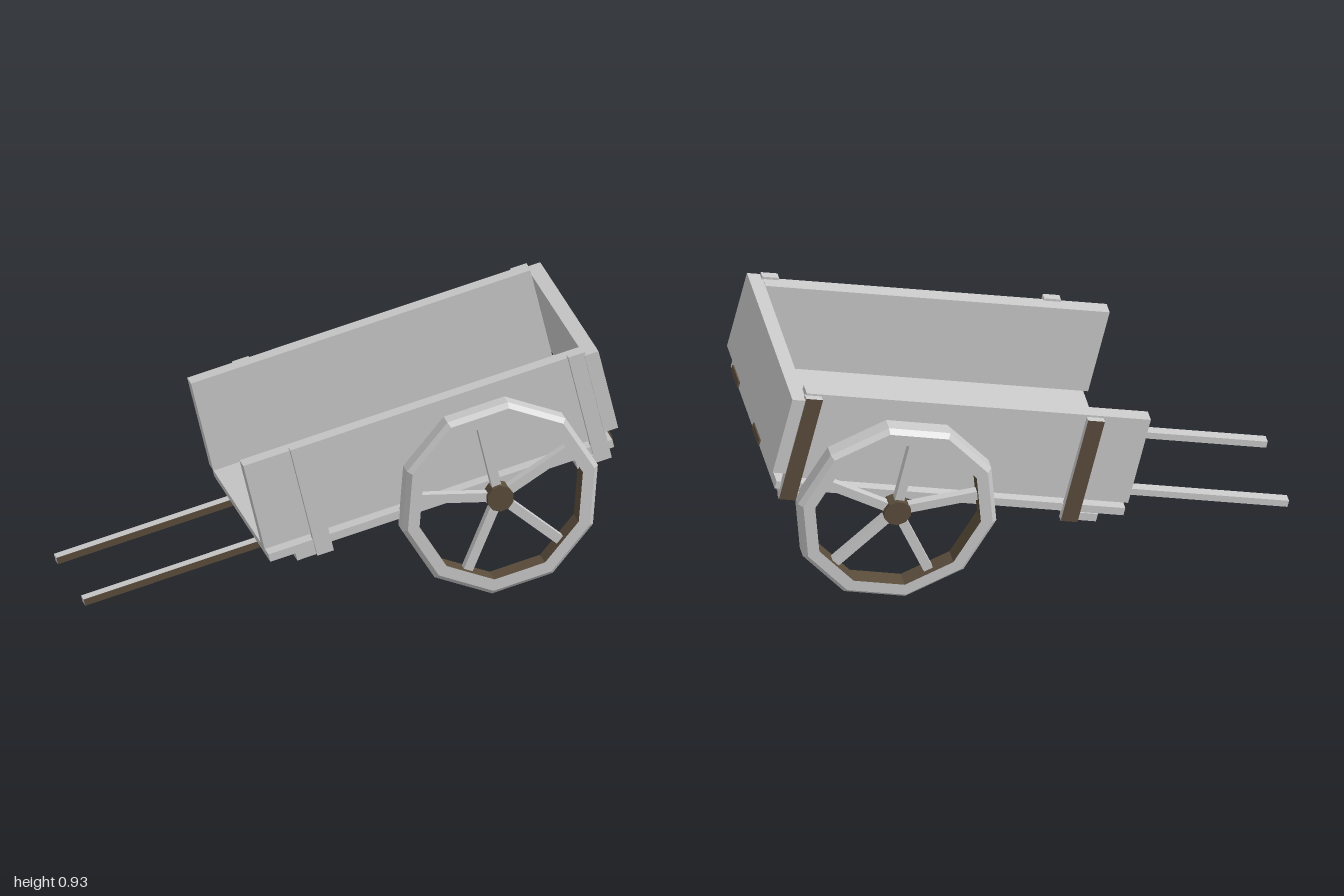
import * as THREE from 'three';

export function createModel() {
  const model = new THREE.Group();
  model.name = 'handCart';
  const grey = new THREE.MeshStandardMaterial({ color: 0xcacaca });
  grey.name = 'pale grey wood';
  const brown = new THREE.MeshStandardMaterial({ color: 0x5a4c3b });
  brown.name = 'dark brown wood';

  function add(parent, name, geometry, material) {
    const mesh = new THREE.Mesh(geometry, material);
    mesh.name = name;
    parent.add(mesh);
    return mesh;
  }
  // Box from its limits along each axis
  function box(parent, name, [x0, x1], [y0, y1], [z0, z1], material = grey) {
    const mesh = add(parent, name, new THREE.BoxGeometry(x1 - x0, y1 - y0, z1 - z0), material);
    mesh.position.set((x0 + x1) / 2, (y0 + y1) / 2, (z0 + z1) / 2);
    return mesh;
  }
  const flat = (geometry) => {
    const g = geometry.toNonIndexed();
    g.computeVertexNormals();
    return g;
  };
  // Face order: +x, -x, +y, -y, +z, -z
  const brownBelow = [grey, grey, grey, brown, grey, grey];
  const brownBelowAndFront = [grey, grey, grey, brown, brown, grey];
  const brownBack = [grey, grey, grey, brown, grey, brown];

  // Body, resting tilted on its shafts
  const body = new THREE.Group();
  body.name = 'cartBody';
  body.rotation.z = 0.232;
  model.add(body);

  box(body, 'floor', [-0.28, 1.075], [0.283, 0.315], [-0.395, 0.405]);
  box(body, 'leftBoard', [-0.287, 1.05], [0.336, 0.692], [0.34, 0.395]);
  box(body, 'rightBoard', [-0.287, 1.05], [0.336, 0.71], [-0.39, -0.335]);
  box(body, 'tailgate', [1.05, 1.105], [0.362, 0.69], [-0.41, 0.42]);

  // Shafts running under the floor
  for (const z of [0.195, -0.192])
    box(body, 'shaft', [-0.963, 0.99], [0.255, 0.282], [z - 0.019, z + 0.019], brownBelowAndFront);

  // Cross members below the floor
  box(body, 'frontCrossMember', [-0.18, -0.05], [0.25, 0.283], [-0.4, 0.4], brownBelow);
  box(body, 'middleCrossMember', [0.47, 0.74], [0.258, 0.283], [-0.3, 0.3], brownBelow);
  box(body, 'rearCrossMember', [0.92, 1.05], [0.25, 0.283], [-0.41, 0.415], brownBelow);

  // Upright posts holding the side boards
  for (const u of [-0.105, 0.99]) {
    box(body, 'leftPost', [u, u + 0.065], [0.25, 0.702], [0.385, 0.415]);
    box(body, 'rightPost', [u, u + 0.065], [0.25, 0.702], [-0.415, -0.385], brownBack);
  }

  // Brown plates on the rear edge of the floor
  for (const z of [0.315, -0.0625])
    box(body, 'rearPlate', [1.075, 1.083], [0.288, 0.313], [z - 0.054, z + 0.054], brown);

  // Axle beam
  const cx = 0.53, cy = 0.39;
  const axle = add(model, 'axle', flat(new THREE.CylinderGeometry(0.048, 0.048, 0.82, 6)), grey);
  axle.rotation.x = Math.PI / 2;
  axle.position.set(cx, cy - 0.01, 0);

  // Ten-sided wheels with five spokes
  const ring = (profile) => {
    const points = profile.map(([r, z]) => new THREE.Vector2(r, z));
    return flat(new THREE.LatheGeometry(points, 10, -0.079, Math.PI * 2).rotateX(Math.PI / 2));
  };
  function wheel(name, side) {
    const group = new THREE.Group();
    group.name = name;
    group.position.set(cx, cy, 0);
    group.scale.z = side;
    add(group, 'rim', ring([[0.322, 0.398], [0.386, 0.398], [0.386, 0.452], [0.368, 0.47], [0.322, 0.47]]), grey);
    add(group, 'rimInside', ring([[0.322, 0.47], [0.322, 0.398]]), brown);
    const hub = add(group, 'hub', flat(new THREE.CylinderGeometry(0.052, 0.052, 0.06, 10)), brown);
    hub.rotation.x = Math.PI / 2;
    hub.position.z = 0.433;
    for (let i = 0; i < 5; i++) {
      const spoke = new THREE.Group();
      spoke.name = 'spoke';
      spoke.rotation.z = THREE.MathUtils.degToRad(31 + 72 * i);
      box(spoke, 'spokeBar', [0.03, 0.33], [-0.018, 0.018], [0.415, 0.447]);
      group.add(spoke);
    }
    model.add(group);
  }
  wheel('leftWheel', 1);
  wheel('rightWheel', -1);

  return model;
}
